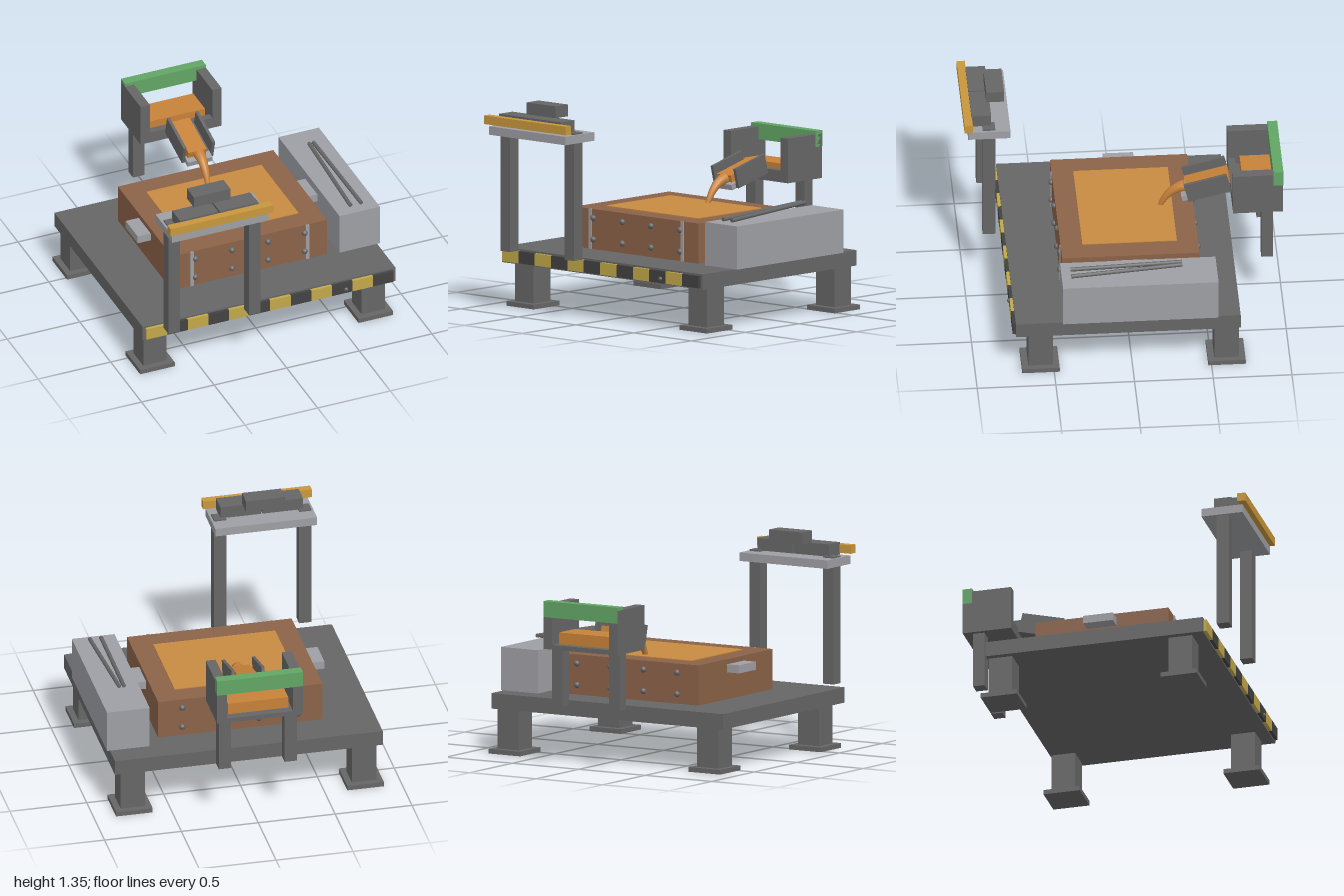
import * as THREE from 'three';

export function createModel() {
  const root = new THREE.Group();
  const paint = (name, color) => {
    const m = new THREE.MeshStandardMaterial({ color });
    m.name = name;
    return m;
  };
  const steel = paint('dark steel', 0x666666);
  const plate = paint('light steel', 0x9e9fa4);
  const brown = paint('brown flask', 0x8b6248);
  const sand = paint('orange sand', 0xc88b42);
  const molten = paint('molten orange', 0xc68138);
  const amber = paint('amber', 0xc8973c);
  const yellow = paint('warning yellow', 0xc2a94a);
  const black = paint('warning black', 0x424242);
  const green = paint('green', 0x62a565);

  const add = (name, geo, mat, parent = root) => {
    const m = new THREE.Mesh(geo, mat);
    m.name = name;
    parent.add(m);
    return m;
  };
  // Box given by its lower and upper limits on each axis
  const box = (name, mat, x0, x1, y0, y1, z0, z1, parent = root) => {
    const m = add(name, new THREE.BoxGeometry(x1 - x0, y1 - y0, z1 - z0), mat, parent);
    m.position.set((x0 + x1) / 2, (y0 + y1) / 2, (z0 + z1) / 2);
    return m;
  };

  // Deck on four legs with foot pads
  const X = -0.012;
  box('deck', steel, -0.883, 0.859, 0.284, 0.383, -0.685, 0.743);
  for (const sx of [-1, 1]) {
    for (const cz of [-0.598, 0.584]) {
      const cx = X + sx * 0.752;
      box('deckLeg', steel, cx - 0.08, cx + 0.08, 0.03, 0.284, cz - 0.078, cz + 0.078);
      box('footPad', steel, cx - 0.119, cx + 0.119, 0, 0.03, cz - 0.119, cz + 0.119);
    }
  }

  // Warning stripes along the front edge
  for (let i = 0; i < 12; i++) {
    const x = -0.864 + i * 0.1418;
    box('warningStripe', i % 2 ? black : yellow, x, x + 0.1418, 0.294, 0.372, 0.743, 0.763);
  }
  const stud = add('edgeStud', new THREE.SphereGeometry(0.014, 12, 8), steel);
  stud.position.set(0.51, 0.322, 0.761);

  // Mould flask: four walls around the sand
  const flask = new THREE.Group();
  flask.name = 'mouldFlask';
  root.add(flask);
  box('frontWall', brown, -0.547, 0.523, 0.383, 0.64, 0.287, 0.425, flask);
  box('backWall', brown, -0.547, 0.523, 0.383, 0.64, -0.447, -0.314, flask);
  box('rightWall', brown, -0.547, -0.409, 0.383, 0.64, -0.314, 0.287, flask);
  box('leftWall', brown, 0.385, 0.523, 0.383, 0.64, -0.314, 0.287, flask);
  box('sandBed', sand, -0.409, 0.385, 0.383, 0.645, -0.314, 0.287, flask);
  box('rightHandle', plate, -0.637, -0.547, 0.555, 0.607, -0.11, 0.085, flask);
  box('leftHandle', plate, 0.523, 0.613, 0.555, 0.607, -0.11, 0.085, flask);
  for (const x of [-0.41, 0.385]) {
    box('strap', plate, x - 0.012, x + 0.012, 0.383, 0.64, 0.425, 0.432, flask);
  }
  for (const x of [-0.386, -0.134, 0.115, 0.367]) {
    for (const y of [0.445, 0.583]) {
      for (const z of [0.427, -0.449]) {
        const bolt = add('bolt', new THREE.SphereGeometry(0.02, 14, 10), steel, flask);
        bolt.position.set(x, y, z);
      }
    }
  }

  // Tool chest with a pair of tongs lying on top
  box('toolChest', plate, 0.6, 0.878, 0.383, 0.66, -0.543, 0.445);
  for (const s of [-1, 1]) {
    const a = new THREE.Vector3(0.738 + s * 0.037, 0.68, 0.385);
    const b = new THREE.Vector3(0.732 + s * 0.015, 0.716, -0.322);
    const rod = add('tongRod', new THREE.CylinderGeometry(0.013, 0.013, a.distanceTo(b), 10), steel);
    rod.position.copy(a).lerp(b, 0.5);
    rod.quaternion.setFromUnitVectors(new THREE.Vector3(0, 1, 0), b.clone().sub(a).normalize());
  }

  // Front gantry with counterweights
  const gantry = new THREE.Group();
  gantry.name = 'gantry';
  root.add(gantry);
  for (const x of [-0.724, -0.17]) {
    box('gantryColumn', steel, x - 0.04, x + 0.04, 0.383, 1.2, 0.802, 0.882, gantry);
  }
  box('gantryPlate', plate, -0.779, -0.116, 1.136, 1.19, 0.706, 0.975, gantry);
  box('amberBar', amber, -0.8, -0.093, 1.205, 1.26, 0.947, 1, gantry);
  box('weight', steel, -0.715, -0.451, 1.195, 1.274, 0.825, 0.95, gantry);
  box('weight', steel, -0.441, -0.177, 1.195, 1.274, 0.825, 0.95, gantry);
  box('topWeight', steel, -0.574, -0.322, 1.274, 1.35, 0.732, 0.846, gantry);

  // Furnace tray at the back
  const tray = new THREE.Group();
  tray.name = 'furnaceTray';
  root.add(tray);
  for (const s of [-1, 1]) {
    const lx = X + s * 0.214, wx = X + s * 0.247;
    box('trayLeg', steel, lx - 0.04, lx + 0.04, 0.383, 0.752, -0.936, -0.861, tray);
    box('traySide', steel, wx - 0.032, wx + 0.032, 0.77, 1.035, -0.998, -0.68, tray);
  }
  box('trayFloor', steel, -0.291, 0.267, 0.75, 0.78, -0.998, -0.68, tray);
  box('trayFrontLip', steel, -0.23, 0.204, 0.78, 0.825, -0.727, -0.68, tray);
  box('melt', molten, -0.208, 0.184, 0.78, 0.855, -0.945, -0.755, tray);
  box('greenBar', green, -0.291, 0.267, 0.954, 1.056, -1, -0.936, tray);

  // Sloping pouring chute
  const chute = new THREE.Group();
  chute.name = 'chute';
  chute.position.set(-0.014, 0.827, -0.53);
  chute.rotation.x = 0.25;
  root.add(chute);
  box('chuteFloor', steel, -0.1, 0.1, -0.065, -0.035, -0.14, 0.14, chute);
  for (const s of [-1, 1]) {
    const x = s * 0.098;
    box('chuteSide', steel, x - 0.01, x + 0.01, -0.065, 0.065, -0.14, 0.14, chute);
  }
  box('chuteMelt', molten, -0.07, 0.055, -0.035, 0.015, -0.145, 0.139, chute);
  box('chuteLip', plate, -0.085, 0.085, -0.066, -0.03, 0.12, 0.178, chute);

  // Falling stream: a cylinder bent along a curve and tapered
  const path = new THREE.QuadraticBezierCurve3(
    new THREE.Vector3(-0.012, 0.785, -0.39),
    new THREE.Vector3(-0.012, 0.765, -0.29),
    new THREE.Vector3(-0.016, 0.64, -0.238));
  const stream = new THREE.CylinderGeometry(1, 1, 1, 14, 12);
  const pos = stream.attributes.position;
  for (let i = 0; i < pos.count; i++) {
    const t = 0.5 - pos.getY(i);
    const p = path.getPoint(t), d = path.getTangent(t);
    const r = 0.038 - 0.022 * t;
    const u = pos.getX(i) * r, v = pos.getZ(i) * r;
    pos.setXYZ(i, p.x + u, p.y + v * d.z, p.z - v * d.y);
  }
  stream.computeVertexNormals();
  add('pourStream', stream, molten).material.side = THREE.DoubleSide;

  return root;
}
